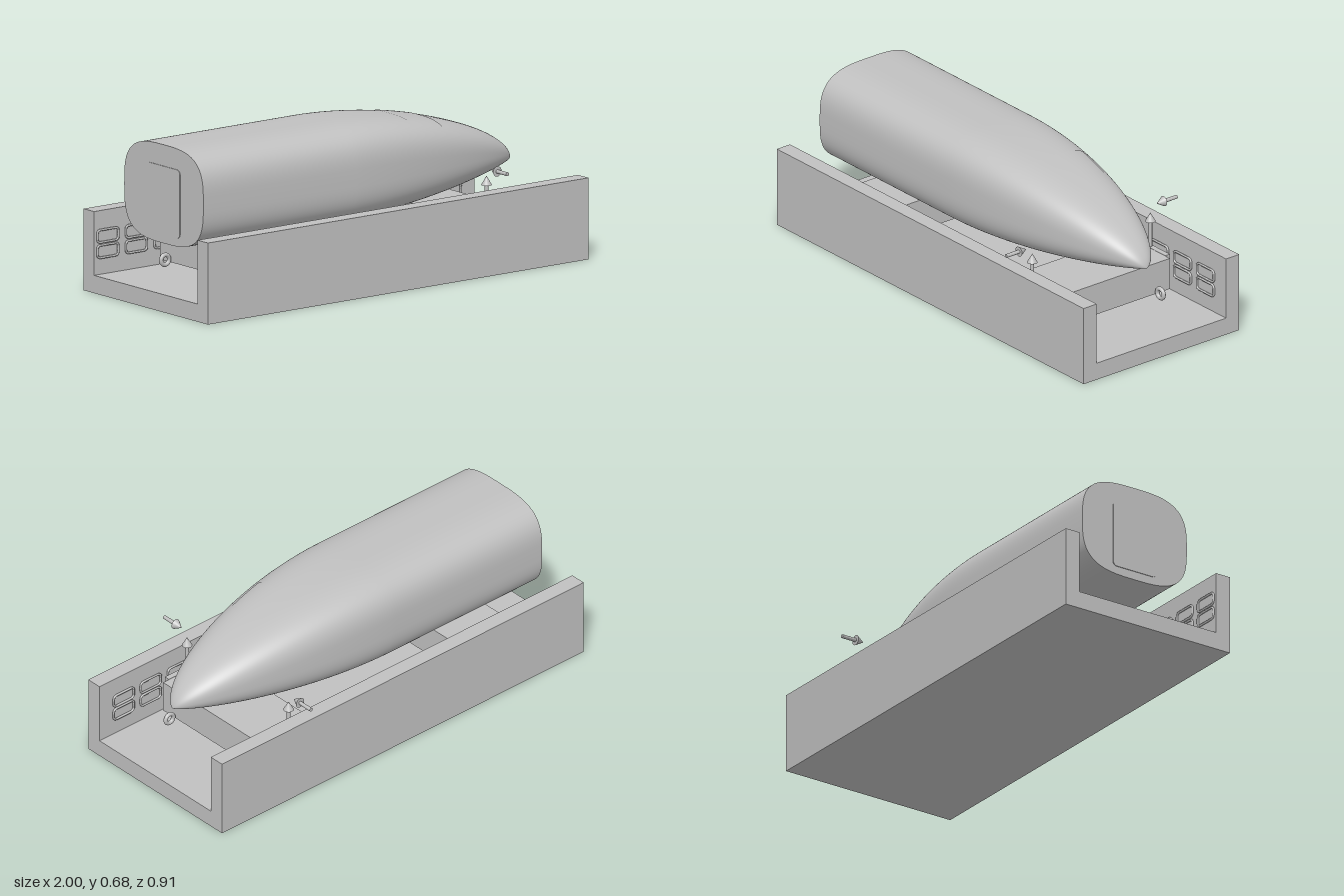
import * as THREE from 'three';

const grey = new THREE.MeshStandardMaterial({ color: 0xc0c0c0 });
grey.name = 'light grey';

function add(parent, name, geometry, x = 0, y = 0, z = 0) {
  const mesh = new THREE.Mesh(geometry, grey);
  mesh.name = name;
  mesh.position.set(x, y, z);
  parent.add(mesh);
  return mesh;
}

// Vehicle skin: superellipse sections tapering to a low nose
const REAR = -0.905, TIP = 0.905, TAPER = -0.1, NOSE_Y = 0.37;
function skin(x, angle, lift = 0) {
  const t = Math.min(1, Math.max(0, (x - TAPER) / (TIP - TAPER)));
  const f = Math.pow(1 - Math.pow(t, 1.9), 0.6);
  const top = NOSE_Y + 0.305 * f;
  const bottom = NOSE_Y - 0.112 * Math.pow(1 - Math.pow(t, 1.7), 0.9);
  const power = 2 / (3.2 - 1.0 * t * t);
  const c = Math.cos(angle), s = Math.sin(angle);
  const z = (0.264 * f + lift) * Math.sign(c) * Math.pow(Math.abs(c), power);
  const y = (top + bottom) / 2 + ((top - bottom) / 2 + lift) * Math.sign(s) * Math.pow(Math.abs(s), power);
  return [x, y, z];
}

// Grid surface over stations along x and angles around the section
function loft(stations, from, to, steps, lift = 0) {
  const pos = [], index = [];
  stations.forEach((x) => {
    for (let j = 0; j <= steps; j++) pos.push(...skin(x, from + ((to - from) * j) / steps, lift));
  });
  const w = steps + 1;
  for (let i = 0; i < stations.length - 1; i++) {
    for (let j = 0; j < steps; j++) {
      const a = i * w + j, b = a + w;
      index.push(a, b, a + 1, b, b + 1, a + 1);
    }
  }
  const g = new THREE.BufferGeometry();
  g.setAttribute('position', new THREE.Float32BufferAttribute(pos, 3));
  g.setIndex(index);
  g.computeVertexNormals();
  // Match normals across the seam of a full ring
  if (Math.abs(to - from - 2 * Math.PI) < 1e-6) {
    const n = g.attributes.normal, v = new THREE.Vector3(), u = new THREE.Vector3();
    for (let i = 0; i < stations.length; i++) {
      v.fromBufferAttribute(n, i * w).add(u.fromBufferAttribute(n, i * w + steps)).normalize();
      n.setXYZ(i * w, v.x, v.y, v.z);
      n.setXYZ(i * w + steps, v.x, v.y, v.z);
    }
  }
  return g;
}

function roundedRect(w, h, r) {
  const s = new THREE.Shape(), a = w / 2 - r, b = h / 2 - r;
  s.absarc(a, b, r, 0, Math.PI / 2);
  s.absarc(-a, b, r, Math.PI / 2, Math.PI);
  s.absarc(-a, -b, r, Math.PI, Math.PI * 1.5);
  s.absarc(a, -b, r, Math.PI * 1.5, Math.PI * 2);
  s.closePath();
  return s;
}

// Arrow pointing up from its tail at the origin
function arrow(name, length) {
  const g = new THREE.Group();
  g.name = name;
  const shaft = length - 0.039;
  add(g, 'arrowShaft', new THREE.CylinderGeometry(0.008, 0.008, shaft, 20), 0, shaft / 2, 0);
  add(g, 'arrowHead', new THREE.ConeGeometry(0.022, 0.039, 24), 0, length - 0.0195, 0);
  return g;
}

export function createModel() {
  const model = new THREE.Group();
  model.name = 'levitationTrain';

  // U-shaped guideway
  const u = new THREE.Shape();
  [[-0.415, 0], [0.415, 0], [0.415, 0.345], [0.345, 0.345], [0.345, 0.075],
    [-0.345, 0.075], [-0.345, 0.345], [-0.415, 0.345]]
    .forEach(([z, y], i) => (i ? u.lineTo(z, y) : u.moveTo(z, y)));
  const channel = new THREE.ExtrudeGeometry(u, { depth: 2, bevelEnabled: false });
  channel.translate(0, 0, -1).rotateY(Math.PI / 2);
  add(model, 'guideway', channel);

  // Paired coil loops along both inner walls
  const loop = roundedRect(0.11, 0.052, 0.014).getPoints(5).map((p) => new THREE.Vector3(p.x, p.y, 0));
  const path = new THREE.CatmullRomCurve3(loop.filter((p, i) => i === 0 || (p.distanceTo(loop[i - 1]) > 1e-5 && p.distanceTo(loop[0]) > 1e-5)), true);
  const coil = new THREE.TubeGeometry(path, 56, 0.005, 6, true);
  const coils = new THREE.Group();
  coils.name = 'wallCoils';
  model.add(coils);
  for (const side of [-1, 1]) {
    for (let i = 0; i < 13; i++) {
      for (const y of [0.172, 0.237]) add(coils, 'coil', coil, -0.93 + i * 0.15, y, side * 0.341);
    }
  }

  // Train body with flat rear
  const stations = [REAR, -0.5];
  for (let i = 0; i <= 48; i++) stations.push(TAPER + (TIP - TAPER) * Math.sin((i / 48) * Math.PI / 2));
  add(model, 'trainBody', loft(stations, 0, Math.PI * 2, 96));
  const rear = new THREE.Shape();
  for (let j = 0; j < 96; j++) {
    const [, y, z] = skin(REAR, (j / 96) * Math.PI * 2);
    if (j) rear.lineTo(z, y); else rear.moveTo(z, y);
  }
  add(model, 'rearWall', new THREE.ShapeGeometry(rear).rotateY(-Math.PI / 2), REAR, 0, 0);
  const door = new THREE.ExtrudeGeometry(roundedRect(0.22, 0.29, 0.02), { depth: 0.003, bevelEnabled: false });
  add(model, 'rearDoor', door.rotateY(-Math.PI / 2), REAR, 0.44, 0);

  // Windscreen following the nose
  const glass = [0, 1, 2, 3, 4, 5, 6].map((i) => 0.27 + i * 0.028);
  add(model, 'windscreen', loft(glass, Math.PI * 0.29, Math.PI * 0.71, 32, 0.002));

  // Bogies with side magnets and guide wheels
  for (const end of [-1, 1]) {
    const bogie = new THREE.Group();
    bogie.name = end > 0 ? 'noseBogie' : 'tailBogie';
    model.add(bogie);
    add(bogie, 'bogieFrame', new THREE.BoxGeometry(0.285, 0.139, 0.602), end * 0.545, 0.1775, 0);
    for (const side of [-1, 1]) {
      add(bogie, 'magnet', new THREE.BoxGeometry(0.22, 0.09, 0.025), end * 0.545, 0.202, side * 0.315);
      add(bogie, 'wheel', new THREE.TorusGeometry(0.021, 0.009, 12, 32), end * 0.725, 0.125, side * 0.22);
    }
  }

  // Lift and guidance arrows
  for (const side of [-1, 1]) {
    const lift = arrow('liftArrow', 0.153);
    lift.position.set(0.543, 0.247, side * 0.315);
    const guide = arrow('guidanceArrow', 0.107);
    guide.position.set(0.543, 0.43, side * 0.455);
    guide.rotation.x = -side * Math.PI / 2;
    model.add(lift, guide);
  }
  return model;
}
